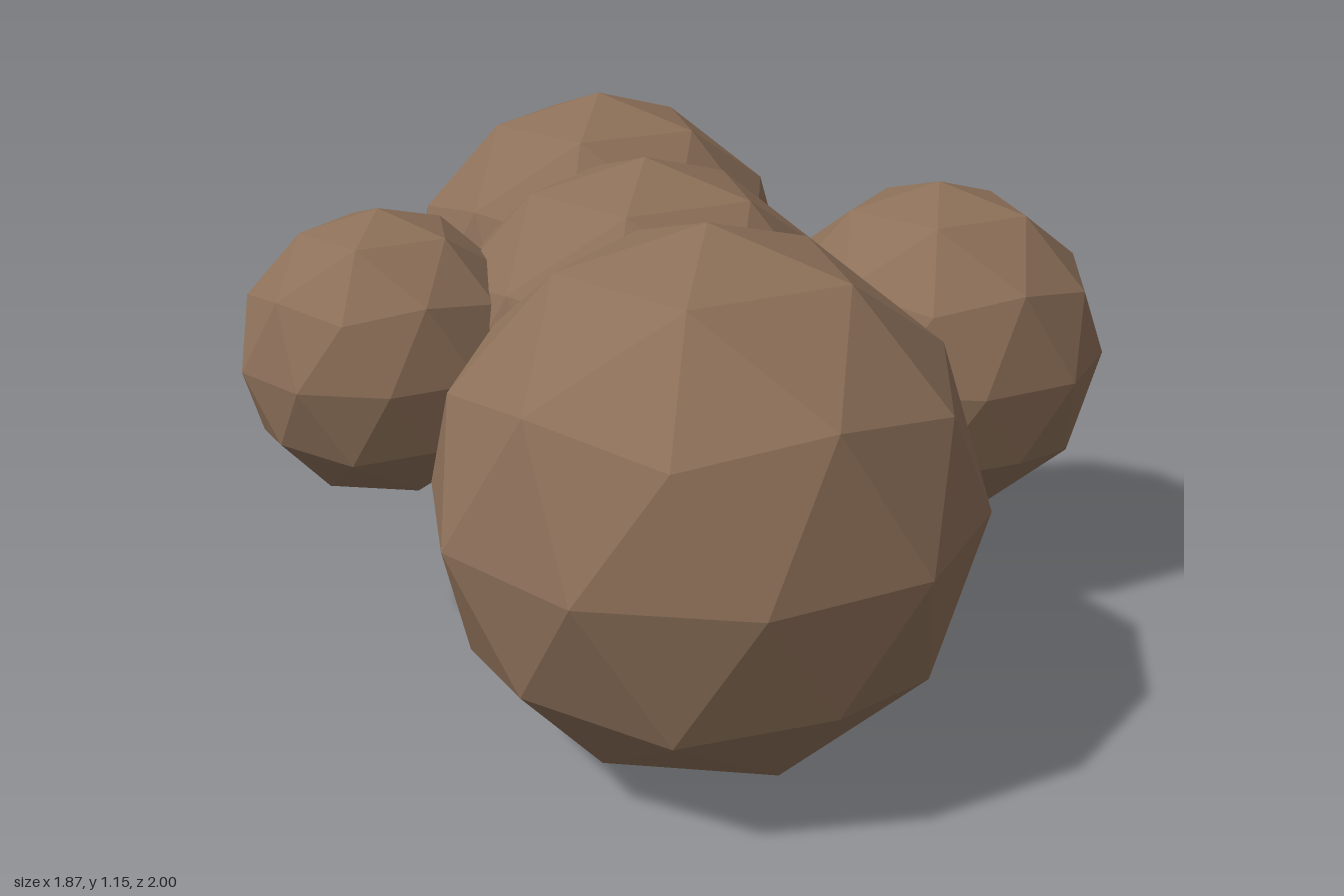
import * as THREE from 'three';

export function createModel() {
  const model = new THREE.Group();
  model.name = 'boulderCluster';

  const material = new THREE.MeshStandardMaterial({ color: 0x8d7059, flatShading: true });

  // Low-poly ball standing on a vertex, with an upper-ring vertex toward +x
  const ball = new THREE.IcosahedronGeometry(1, 1);
  ball.rotateZ(-Math.atan(2 / (1 + Math.sqrt(5))));

  // name, radius, centre
  const lumps = [
    ['centreBoulder', 0.477, [-0.09, 0.643, -0.04]],
    ['frontBoulder', 0.56, [-0.405, 0.56, 0.44]],
    ['backBoulder', 0.478, [0.235, 0.675, -0.522]],
    ['leftBoulder', 0.398, [0.553, 0.61, 0.278]],
    ['rightBoulder', 0.317, [-0.568, 0.72, -0.364]],
  ];
  for (const [name, radius, centre] of lumps) {
    const lump = new THREE.Mesh(ball, material);
    lump.name = name;
    lump.scale.setScalar(radius);
    lump.position.set(...centre);
    model.add(lump);
  }
  return model;
}
